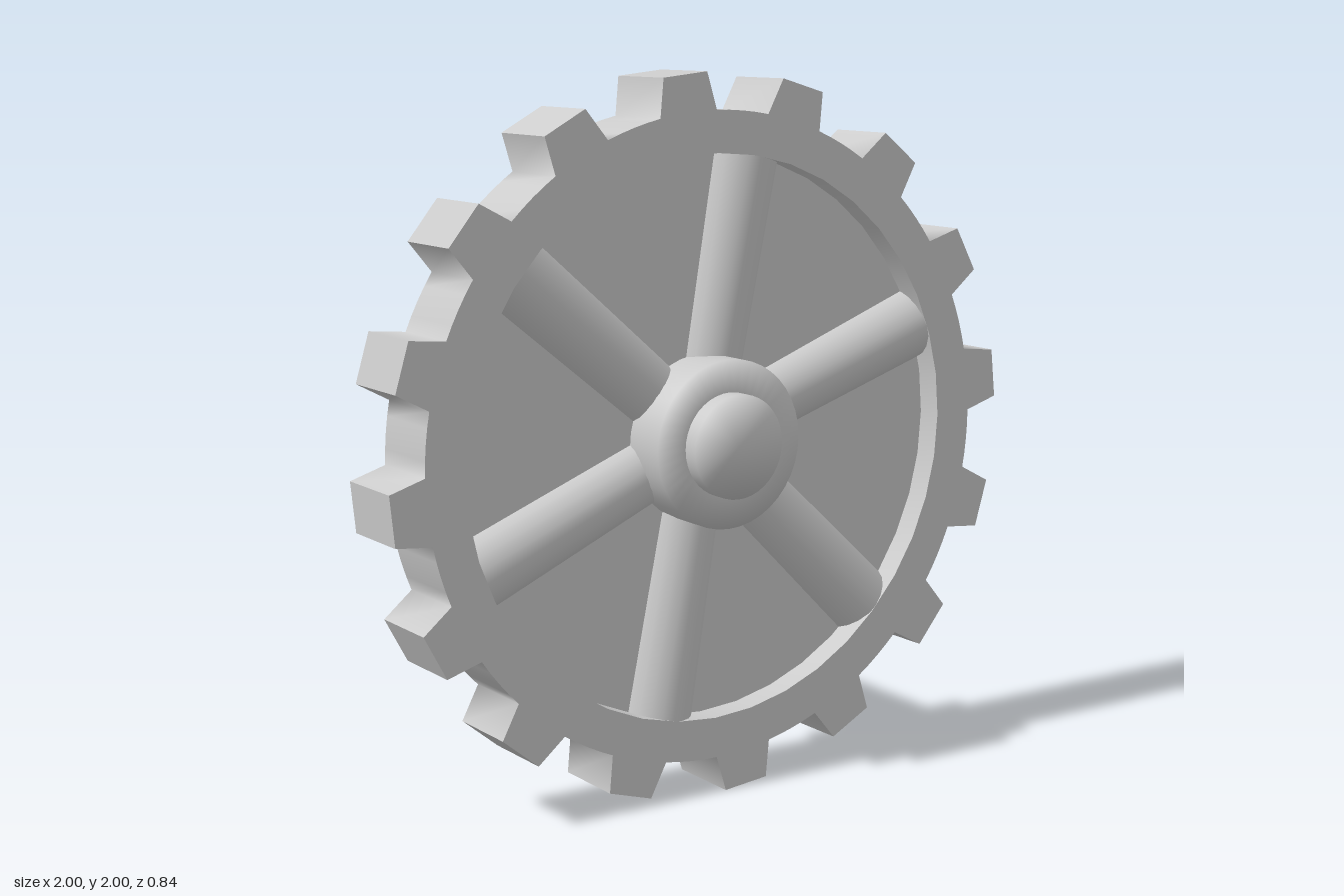
import * as THREE from 'three';
import { toCreasedNormals } from 'three/addons/utils/BufferGeometryUtils.js';

const CENTER_Y = 1;
const RIM_BACK = 0.095, RIM_DEPTH = 0.22, RIM_INNER = 0.785;
const rad = THREE.MathUtils.degToRad;

export function createModel() {
  const group = new THREE.Group();
  const material = new THREE.MeshStandardMaterial({ color: 0xcccccc });
  const add = (name, geometry, mat = material) => {
    const mesh = new THREE.Mesh(geometry, mat);
    mesh.name = name;
    mesh.position.y = CENTER_Y;
    group.add(mesh);
    return mesh;
  };
  const polar = (r, deg) => new THREE.Vector2(r * Math.cos(rad(deg)), r * Math.sin(rad(deg)));

  // Toothed rim: 16 tapered teeth with softly blended valleys
  const teeth = 16, step = 360 / teeth, baseHalf = 5.8, tipHalf = 4;
  const outline = [];
  for (let i = 0; i < teeth; i++) {
    const a = 6.1 + i * step;
    outline.push(polar(0.9, a - baseHalf), polar(1.003, a - tipHalf),
      polar(1.003, a + tipHalf), polar(0.9, a + baseHalf));
    for (let k = 1; k < 4; k++) {
      outline.push(polar(0.9, a + baseHalf + (k / 4) * (step - 2 * baseHalf)));
    }
  }
  const rimShape = new THREE.Shape(outline);
  const hole = [];
  for (let i = 0; i < 40; i++) hole.push(polar(RIM_INNER, -i * 9));
  rimShape.holes.push(new THREE.Path(hole));
  const rim = new THREE.ExtrudeGeometry(rimShape, { depth: RIM_DEPTH, bevelEnabled: false });
  add('toothedRim', toCreasedNormals(rim, rad(75))).position.z = RIM_BACK;

  // Thin web closing the wheel between the spokes
  const web = new THREE.MeshStandardMaterial({ color: 0xcccccc, side: THREE.DoubleSide });
  add('webDisc', new THREE.CircleGeometry(RIM_INNER + 0.01, 40), web).position.z = 0.24;

  // Six round spokes, slightly wider at the rim
  const spokeStart = 0.12, spokeEnd = 0.795;
  for (const deg of [79.5, 19.7, -43.7, -100.3, -157.3, 140.3]) {
    const geo = new THREE.CylinderGeometry(0.11, 0.097, spokeEnd - spokeStart, 20);
    geo.translate(0, (spokeStart + spokeEnd) / 2, 0);
    const spoke = add('spoke', geo);
    spoke.rotation.z = rad(deg - 90);
    spoke.position.z = RIM_BACK + RIM_DEPTH / 2;
  }

  // Turned parts along z, with normals blended across their edges
  const turned = (name, points) => {
    const geo = new THREE.LatheGeometry(points.map(([r, z]) => new THREE.Vector2(r, z)), 40);
    geo.rotateX(Math.PI / 2);
    add(name, geo);
  };
  turned('hub', [[0.14, 0.035], [0.234, 0.035], [0.234, 0.375], [0.14, 0.375]]);
  turned('axle', [[0, -0.42], [0.144, -0.42], [0.144, 0.42], [0, 0.42]]);

  return group;
}
